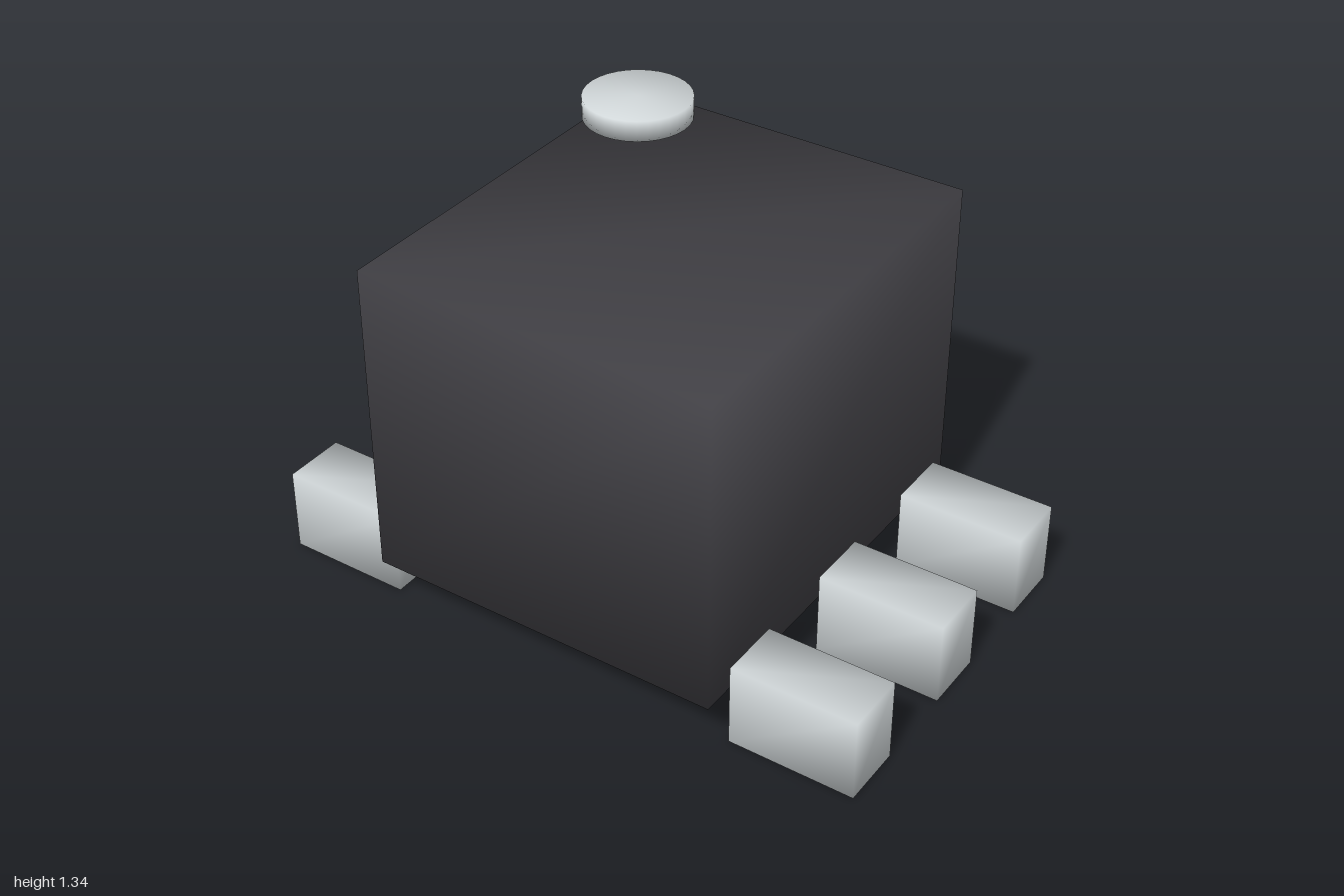
import * as THREE from 'three';
import { mergeVertices } from 'three/addons/utils/BufferGeometryUtils.js';

// Share corner vertices so normals blend across the edges
function soften(geometry) {
  geometry.deleteAttribute('uv');
  geometry.deleteAttribute('normal');
  const merged = mergeVertices(geometry, 1e-4);
  merged.computeVertexNormals();
  return merged;
}

export function createModel() {
  const model = new THREE.Group();
  model.name = 'boxOnFeet';

  const charcoal = new THREE.MeshStandardMaterial({ color: 0x434247 });
  charcoal.name = 'charcoal';
  const paleGrey = new THREE.MeshStandardMaterial({ color: 0xd0d6d8 });
  paleGrey.name = 'paleGrey';

  function add(name, geometry, material, x, y, z) {
    const mesh = new THREE.Mesh(geometry, material);
    mesh.name = name;
    mesh.position.set(x, y, z);
    model.add(mesh);
  }

  // Main block
  add('body', soften(new THREE.BoxGeometry(1.16, 1.015, 1.324)), charcoal, 0, 0.681, 0);

  // Three feet along each side
  const footGeometry = soften(new THREE.BoxGeometry(0.405, 0.27, 0.203));
  for (const [side, sign] of [['left', 1], ['right', -1]]) {
    for (const [place, z] of [['Front', 0.476], ['Middle', 0], ['Back', -0.476]]) {
      add(`${side}${place}Foot`, footGeometry, paleGrey, sign * 0.7975, 0.135, z);
    }
  }

  // Floating disc above the back right corner
  add('topDisc', soften(new THREE.CylinderGeometry(0.168, 0.168, 0.066, 32)), paleGrey, -0.368, 1.307, -0.382);

  return model;
}
